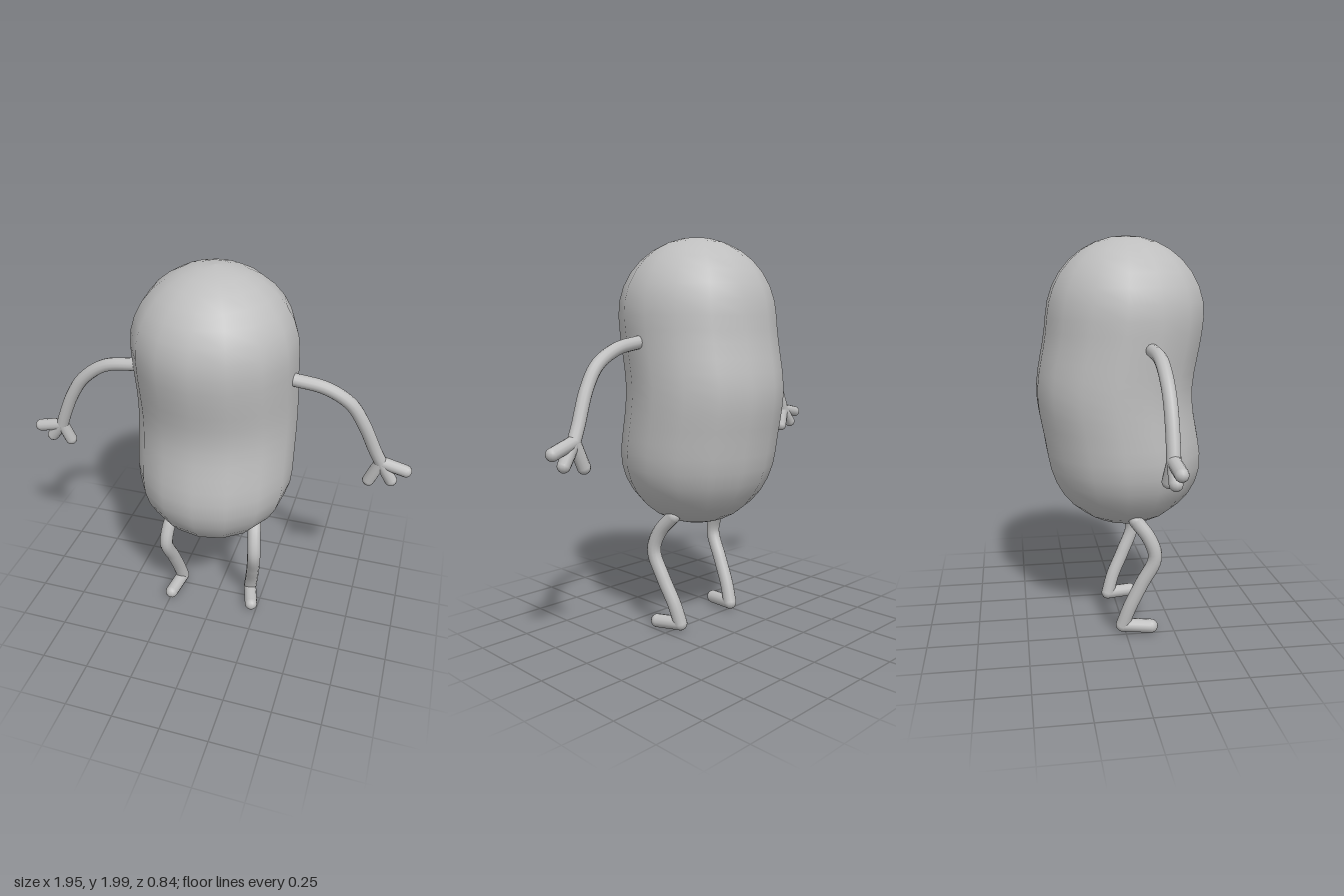
import * as THREE from 'three';

const skin = new THREE.MeshStandardMaterial({ color: 0xbebebe });
skin.name = 'grey';

// Round-ended tube through a few points
function limb(name, pts, r, segments = 20) {
  const group = new THREE.Group();
  group.name = name;
  const path = pts.map((p) => new THREE.Vector3(...p));
  const curve = new THREE.CatmullRomCurve3(path);
  group.add(new THREE.Mesh(new THREE.TubeGeometry(curve, segments, r, 12), skin));
  for (const end of [path[0], path[path.length - 1]]) {
    const cap = new THREE.Mesh(new THREE.SphereGeometry(r, 12, 8), skin);
    cap.position.copy(end);
    group.add(cap);
  }
  group.children.forEach((m) => { m.name = name; });
  return group;
}

// Capsule pushed back around the waist, like a bean
function makeBody() {
  const R = 0.4, cap = 0.39, low = 0.935, high = 1.61, profile = [];
  for (let i = 0; i <= 8; i++) {
    const a = (i / 8) * Math.PI / 2;
    profile.push(new THREE.Vector2(R * Math.sin(a), low - cap * Math.cos(a)));
  }
  for (let i = 1; i < 10; i++) profile.push(new THREE.Vector2(R, low + (high - low) * i / 10));
  for (let i = 0; i <= 8; i++) {
    const a = (i / 8) * Math.PI / 2;
    profile.push(new THREE.Vector2(R * Math.cos(a), high + cap * Math.sin(a)));
  }
  const geo = new THREE.LatheGeometry(profile, 15);
  const pos = geo.attributes.position, nor = geo.attributes.normal, n = new THREE.Vector3();
  for (let i = 0; i < pos.count; i++) {
    const d = (pos.getY(i) - 1.24) / 0.25;
    const dip = 0.058 * Math.exp(-d * d);
    const slope = dip * 2 * d / 0.25;
    pos.setXYZ(i, pos.getX(i) - 0.01, pos.getY(i), pos.getZ(i) + 0.03 - dip);
    // Sheared normal keeps the seam smooth
    n.fromBufferAttribute(nor, i);
    n.y -= slope * n.z;
    n.normalize();
    nor.setXYZ(i, n.x, n.y, n.z);
  }
  const body = new THREE.Mesh(geo, skin);
  body.name = 'body';
  return body;
}

// Arm with three fingers spreading from its last point
function makeArm(name, pts, tips) {
  const arm = new THREE.Group();
  arm.name = name;
  arm.add(limb('armTube', pts, 0.032, 28));
  for (const tip of tips) arm.add(limb('finger', [pts[pts.length - 1], tip], 0.031, 2));
  return arm;
}

// Leg with a stubby foot pointing forward
function makeLeg(name, pts, toe) {
  const leg = new THREE.Group();
  leg.name = name;
  leg.add(limb('legTube', pts, 0.036, 28));
  leg.add(limb('foot', [pts[pts.length - 1], toe], 0.035, 2));
  return leg;
}

export function createModel() {
  const model = new THREE.Group();
  model.name = 'beanFigure';
  model.add(makeBody());

  model.add(makeArm('leftArm', [
    [0.375, 1.485, 0.035], [0.53, 1.455, 0.02], [0.65, 1.385, 0.01],
    [0.72, 1.28, 0], [0.79, 1.12, -0.025], [0.82, 1.06, -0.035],
  ], [[0.945, 1.02, -0.05], [0.88, 0.96, -0.04], [0.772, 0.94, -0.04]]));
  model.add(makeArm('rightArm', [
    [-0.385, 1.48, 0.095], [-0.55, 1.455, 0.105], [-0.67, 1.37, 0.11],
    [-0.74, 1.27, 0.112], [-0.805, 1.125, 0.11], [-0.825, 1.07, 0.108],
  ], [[-0.948, 1.045, 0.115], [-0.89, 0.99, 0.105], [-0.793, 0.975, 0.095]]));

  model.add(makeLeg('leftLeg', [
    [0.2, 0.61, -0.01], [0.22, 0.52, 0.07], [0.23, 0.42, 0.103],
    [0.215, 0.28, 0.05], [0.195, 0.15, -0.01], [0.18, 0.05, -0.04],
  ], [0.22, 0.042, 0.09]));
  model.add(makeLeg('rightLeg', [
    [-0.23, 0.61, 0.05], [-0.25, 0.52, 0.115], [-0.257, 0.42, 0.145],
    [-0.245, 0.28, 0.08], [-0.235, 0.15, 0.02], [-0.225, 0.05, -0.015],
  ], [-0.245, 0.042, 0.13]));
  return model;
}
